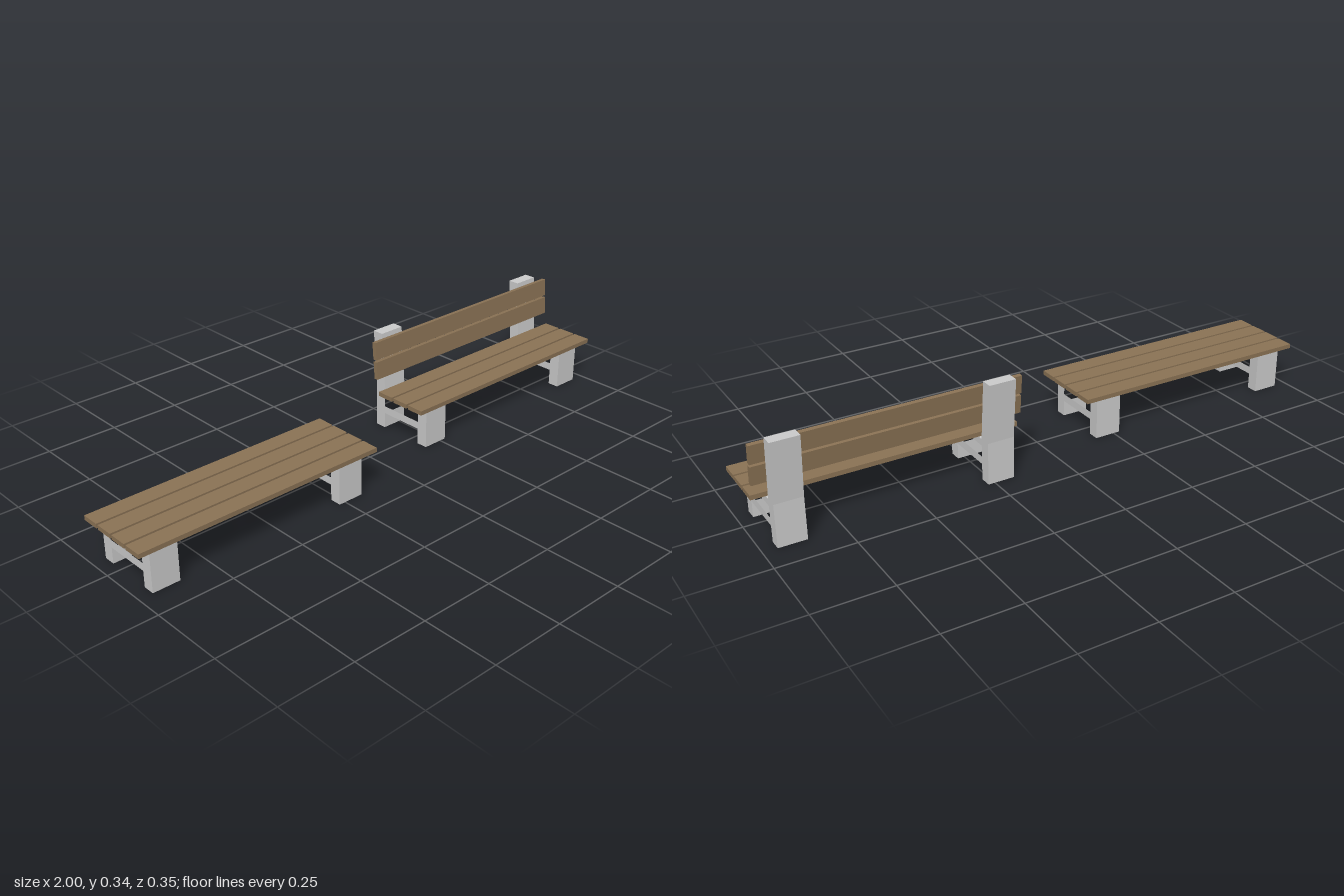
import * as THREE from 'three';

const concrete = new THREE.MeshStandardMaterial({ color: 0xcccccc, flatShading: true });
const wood = new THREE.MeshStandardMaterial({ color: 0x8b7355, flatShading: true });

const BENCH_X = 0.568;       // bench centre, mirrored left and right
const SLAT = { length: 0.864, thick: 0.015, width: 0.061, pitch: 0.069 };
const FRAME = { width: 0.091, offset: 0.341, leg: 0.039 };
const SEAT_Y = 0.141;
const RAIL_Y = [0.054, 0.08, 0.118]; // lower rail bottom and top, upper rail bottom
const BACK_TILT = 0.084;

// Side frame: profile drawn in (z, y), extruded along x and centred on x = 0
function frameGeometry(front, back, post) {
  const f = front - FRAME.leg, b = back + FRAME.leg;
  const [low, mid, high] = RAIL_Y;
  const points = [[front, 0], [front, SEAT_Y]];
  if (post) {
    // Leaning back post
    points.push([b, SEAT_Y], [b - 0.017, 0.342], [back - 0.017, 0.342]);
  }
  points.push([back, SEAT_Y], [back, 0], [b, 0], [b, low], [f, low], [f, 0]);
  const shape = new THREE.Shape(points.map(([z, y]) => new THREE.Vector2(-z, y)));

  // Opening between the two rails
  const hole = [[f, mid], [f, high], [b, high], [b, mid]];
  shape.holes.push(new THREE.Path(hole.map(([z, y]) => new THREE.Vector2(-z, y))));

  const geometry = new THREE.ExtrudeGeometry(shape, { depth: FRAME.width, bevelEnabled: false });
  geometry.translate(0, 0, -FRAME.width / 2);
  geometry.rotateY(Math.PI / 2);
  return geometry;
}

function addMesh(group, name, geometry, material, x, y, z) {
  const mesh = new THREE.Mesh(geometry, material);
  mesh.name = name;
  mesh.position.set(x, y, z);
  group.add(mesh);
  return mesh;
}

function createBench({ name, x, front, back, slats, firstSlatZ, backrest }) {
  const bench = new THREE.Group();
  bench.name = name;
  bench.position.x = x;

  // Two side frames
  const frame = frameGeometry(front, back, backrest);
  for (const side of [-1, 1]) {
    addMesh(bench, side > 0 ? 'leftFrame' : 'rightFrame', frame, concrete, side * FRAME.offset, 0, 0);
  }

  // Seat slats, front to back
  const board = new THREE.BoxGeometry(SLAT.length, SLAT.thick, SLAT.width);
  for (let i = 0; i < slats; i++) {
    addMesh(bench, `seatSlat${i + 1}`, board, wood,
      0, SEAT_Y + SLAT.thick / 2, firstSlatZ - i * SLAT.pitch);
  }

  // Backrest slats, leaning with the posts
  if (backrest) {
    const backBoard = new THREE.BoxGeometry(SLAT.length, SLAT.width, SLAT.thick);
    for (let i = 0; i < 2; i++) {
      const slat = addMesh(bench, `backSlat${i + 1}`, backBoard, wood,
        0, 0.228 + i * 0.0685, -0.1185 - i * 0.006);
      slat.rotation.x = -BACK_TILT;
    }
  }
  return bench;
}

export function createModel() {
  const model = new THREE.Group();
  model.name = 'parkBenches';
  model.add(
    createBench({
      name: 'backlessBench', x: -BENCH_X, front: 0.157, back: -0.079,
      slats: 4, firstSlatZ: 0.1465, backrest: false,
    }),
    createBench({
      name: 'benchWithBack', x: BENCH_X, front: 0.077, back: -0.159,
      slats: 3, firstSlatZ: 0.0665, backrest: true,
    }),
  );
  return model;
}
